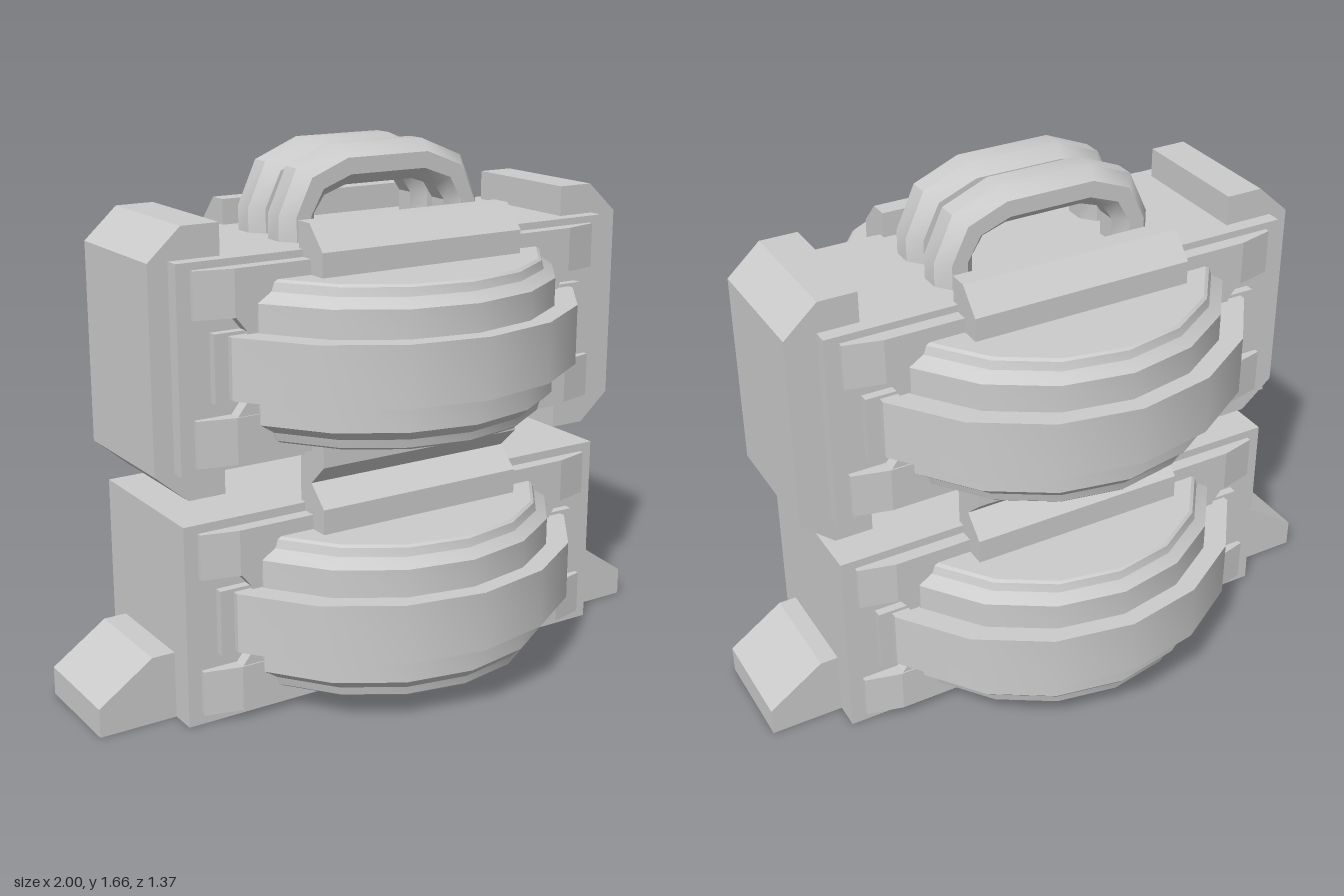
import * as THREE from 'three';
import { toCreasedNormals } from 'three/addons/utils/BufferGeometryUtils.js';

const flat = new THREE.MeshStandardMaterial({ color: 0xcccccc, flatShading: true });
const smooth = new THREE.MeshStandardMaterial({ color: 0xcccccc });

function add(parent, name, geometry, material = flat) {
  const mesh = new THREE.Mesh(geometry, material);
  mesh.name = name;
  parent.add(mesh);
  return mesh;
}

// Polygon extruded along z, centred on z = 0
function prism(points, depth) {
  const shape = new THREE.Shape(points.map(([x, y]) => new THREE.Vector2(x, y)));
  return new THREE.ExtrudeGeometry(shape, { depth, bevelEnabled: false }).translate(0, 0, -depth / 2);
}

// Stepped half drum: each level is the same faceted arc, scaled about the panel face
function drumGeometry() {
  const half = [[0.24, 0], [0.24, 0.75], [0.233, 0.77], [0.207, 0.785], [0.178, 0.857], [0.0925, 0.857], [0.0925, 1]];
  const levels = [...half.map(([y, s]) => [-y, s]), ...half.slice().reverse()];
  const steps = 8, radius = 0.686, face = 0.3;
  const geo = new THREE.LatheGeometry(levels.map(([y, s]) => new THREE.Vector2(s, y)), steps);
  const pos = geo.attributes.position;
  for (let i = 0; i <= steps; i++) {
    const k = THREE.MathUtils.clamp(i, 1, steps - 1);
    const a = THREE.MathUtils.degToRad((k - 4) * 21.3);
    levels.forEach(([y, s], j) => {
      const z = i === k ? face + s * (radius * Math.cos(a) - face) : 0.2;
      pos.setXYZ(i * levels.length + j, s * radius * Math.sin(a), y, z);
    });
  }
  return toCreasedNormals(geo, 0.5);
}

// Bent carrying handle: eight-sided rings between an outer and an inner outline
function handleGeometry() {
  const left = [
    [-0.357, 1.36, -0.235, 1.36], [-0.357, 1.47, -0.235, 1.47],
    [-0.295, 1.605, -0.2, 1.52], [-0.15, 1.665, -0.125, 1.545],
  ];
  const rows = [...left, ...left.slice().reverse().map(([ox, oy, ix, iy]) => [-ox, oy, -ix, iy])];
  const sides = 8;
  const geo = new THREE.CylinderGeometry(1, 1, 1, sides, rows.length - 1, true);
  const pos = geo.attributes.position;
  const grow = 1 / Math.cos(Math.PI / sides);
  rows.forEach(([ox, oy, ix, iy], r) => {
    for (let i = 0; i <= sides; i++) {
      const a = ((i + 0.5) / sides) * Math.PI * 2;
      const out = (Math.sin(a) * grow) / 2;
      pos.setXYZ(r * (sides + 1) + i,
        (ox + ix) / 2 + (ox - ix) * out, (oy + iy) / 2 + (oy - iy) * out, 0.075 * grow * Math.cos(a));
    }
  });
  return toCreasedNormals(geo, 0.6);
}

// Raised panel and drum for one face of a case, centred on y = 0
function facePanel() {
  const panel = new THREE.Group();
  for (const s of [-1, 1]) {
    const bar = prism([[-0.715, 0.2], [0.715, 0.2], [0.715, 0.27], [0.6, 0.298], [-0.6, 0.298], [-0.715, 0.27]], 0.14);
    add(panel, 'panelBar', bar.rotateX(Math.PI / 2)).position.y = s * 0.215;
  }
  const centre = prism([[-0.6, -0.15], [0.6, -0.15], [0.56, -0.1], [0.56, 0.1],
    [0.6, 0.15], [-0.6, 0.15], [-0.56, 0.1], [-0.56, -0.1]], 0.1);
  add(panel, 'panelCentre', centre).position.z = 0.244;
  add(panel, 'sideTab', new THREE.BoxGeometry(1.32, 0.205, 0.1)).position.z = 0.232;
  add(panel, 'drum', drumGeometry(), smooth);
  return panel;
}

export function createModel() {
  const model = new THREE.Group();
  model.name = 'stackedCases';

  // Two stacked cases, each with a bevelled spine and a drum on both faces
  const cases = [
    { name: 'lowerCase', bottom: 0, height: 0.63, drumY: 0.318,
      spine: [[0.23, 0.1], [0.36, 0.1], [0.36, 0.635], [0.29, 0.7], [0.23, 0.7]] },
    { name: 'upperCase', bottom: 0.78, height: 0.615, drumY: 1.088,
      spine: [[0.23, 0.7], [0.29, 0.7], [0.36, 0.765], [0.36, 1.4], [0.29, 1.475], [0.23, 1.475]] },
  ];
  for (const c of cases) {
    const group = new THREE.Group();
    group.name = c.name;
    group.position.x = 0.008;
    model.add(group);
    add(group, 'caseBody', new THREE.BoxGeometry(1.52, c.height, 0.51)).position.y = c.bottom + c.height / 2;
    for (const turn of [0, Math.PI]) {
      const side = new THREE.Group();
      side.name = turn ? 'backFace' : 'frontFace';
      side.rotation.y = turn;
      const panel = facePanel();
      panel.name = 'facePanel';
      panel.position.y = c.drumY;
      side.add(panel);
      add(side, 'spine', prism(c.spine, 0.705).rotateY(-Math.PI / 2));
      group.add(side);
    }
  }

  // Side clamps and feet, mirrored left and right
  const clamp = [[0.615, 0.69], [0.735, 0.69], [0.84, 0.78], [0.84, 1.395], [0.735, 1.49], [0.615, 1.49]];
  const foot = [[0.7, 0], [1, 0], [1, 0.09], [0.825, 0.21], [0.7, 0.21]];
  for (const turn of [0, Math.PI]) {
    const side = turn ? 'right' : 'left';
    const clampMesh = add(model, side + 'Clamp', prism(clamp, 0.42));
    clampMesh.rotation.y = turn;
    clampMesh.position.x = 0.025;
    add(model, side + 'Foot', prism(foot, 0.34)).rotation.y = turn;
  }

  // Pair of carrying handles
  for (const z of [-0.097, 0.085]) {
    add(model, 'handle', handleGeometry(), smooth).position.set(0.012, 0, z);
  }
  return model;
}
